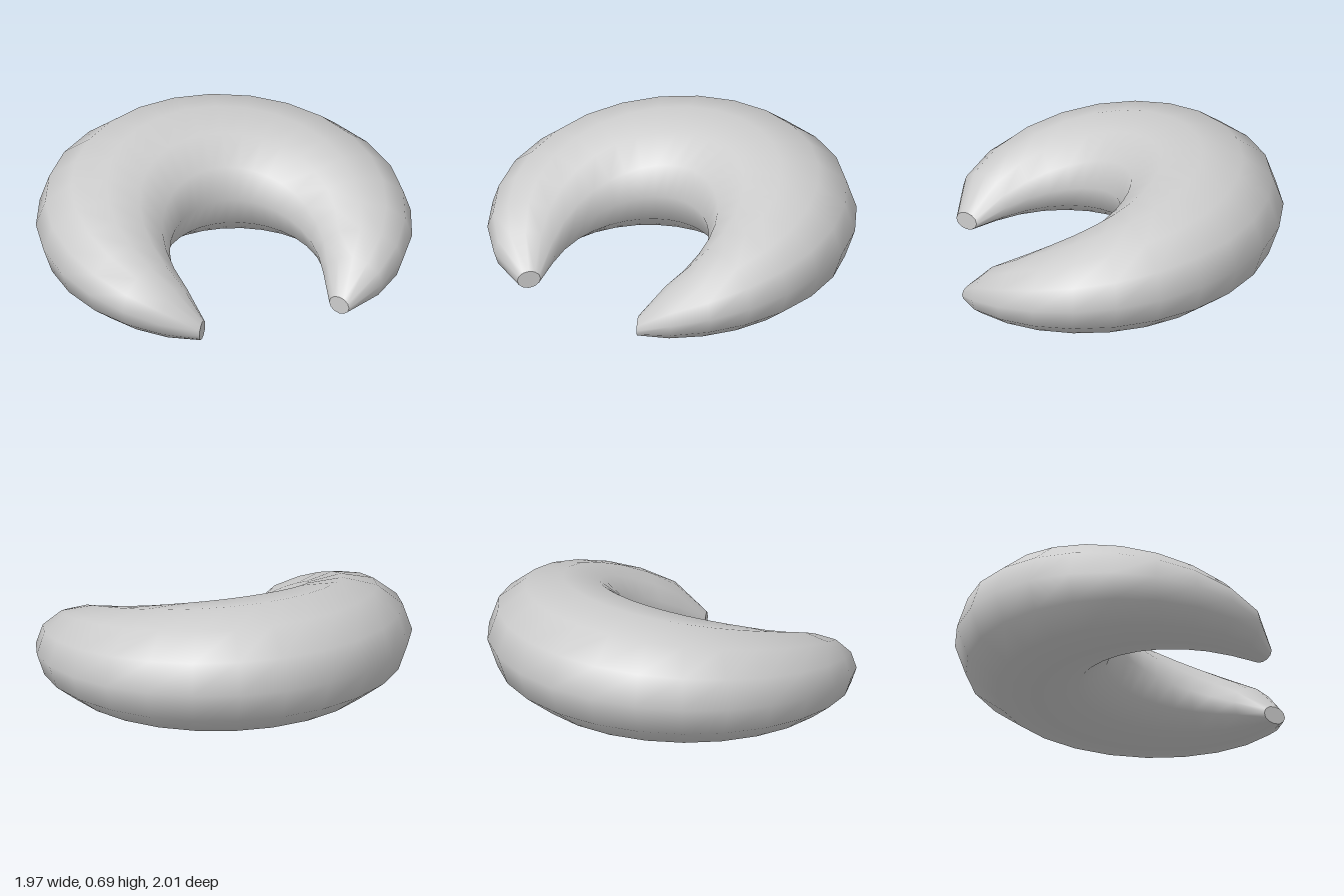
import * as THREE from 'three';

const SEGMENTS = 22, SIDES = 12;
const RADIUS = 0.695, CX = 0.12, CZ = 0.1;
const MID = THREE.MathUtils.degToRad(39.4 + 180);
const SWEEP = THREE.MathUtils.degToRad(290.3);

// One elliptical cross-section, resting on the ground and thickest mid-way
function section(i) {
  const t = i / SEGMENTS;
  const a = 0.065 + 0.378 * Math.pow(Math.max(0, Math.sin(Math.PI * t)), 0.65);
  const b = a * 0.778;
  const angle = MID + (t - 0.5) * SWEEP;
  const points = [];
  for (let j = 0; j < SIDES; j++) {
    const phi = (j / SIDES) * Math.PI * 2;
    const r = RADIUS + a * Math.cos(phi);
    points.push(CX + r * Math.cos(angle), b + b * Math.sin(phi), CZ + r * Math.sin(angle));
  }
  return { points, center: [CX + RADIUS * Math.cos(angle), b, CZ + RADIUS * Math.sin(angle)] };
}

function makeMesh(name, positions, indices, material) {
  const geometry = new THREE.BufferGeometry();
  geometry.setAttribute('position', new THREE.Float32BufferAttribute(positions, 3));
  geometry.setIndex(indices);
  geometry.computeVertexNormals();
  const mesh = new THREE.Mesh(geometry, material);
  mesh.name = name;
  return mesh;
}

export function createModel() {
  const group = new THREE.Group();
  group.name = 'crescentRoll';
  const material = new THREE.MeshStandardMaterial({ color: 0xcccccc });

  // Curved, tapering body
  const positions = [], indices = [];
  for (let i = 0; i <= SEGMENTS; i++) {
    positions.push(...section(i).points);
    if (i === SEGMENTS) break;
    for (let j = 0; j < SIDES; j++) {
      const k = (j + 1) % SIDES;
      const a = i * SIDES + j, b = i * SIDES + k;
      indices.push(a, b, a + SIDES, b, b + SIDES, a + SIDES);
    }
  }
  group.add(makeMesh('body', positions, indices, material));

  // Flat tips closing both ends
  for (const [name, i] of [['leftTip', 0], ['frontTip', SEGMENTS]]) {
    const { points, center } = section(i);
    const fan = [];
    for (let j = 0; j < SIDES; j++) {
      const k = (j + 1) % SIDES;
      fan.push(SIDES, ...(i === 0 ? [k, j] : [j, k]));
    }
    group.add(makeMesh(name, [...points, ...center], fan, material));
  }
  return group;
}
